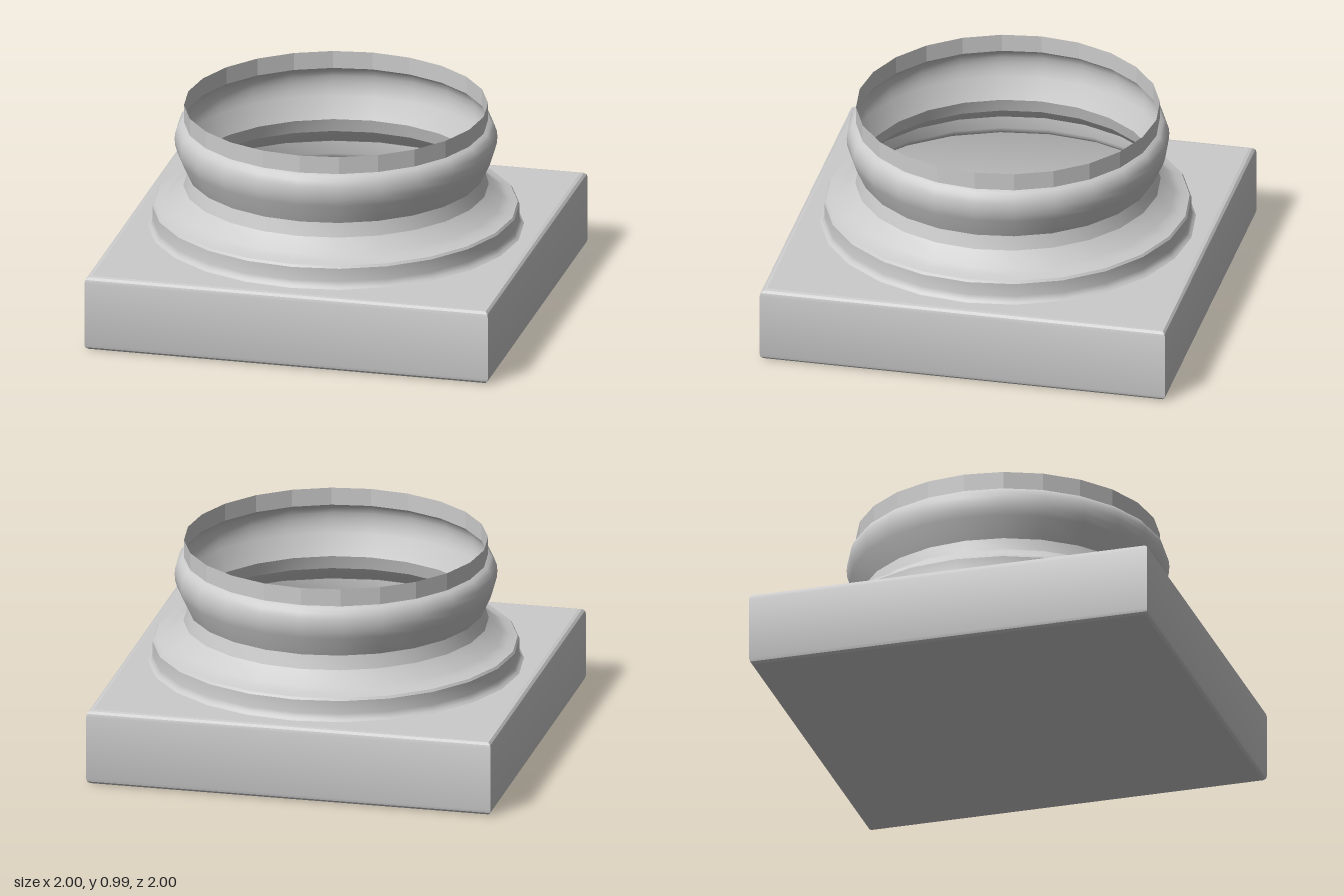
import * as THREE from 'three';
import { toCreasedNormals } from 'three/addons/utils/BufferGeometryUtils.js';

const SIDES = 24;
const material = new THREE.MeshStandardMaterial({ color: 0xcccccc, side: THREE.DoubleSide });
const flatMaterial = new THREE.MeshStandardMaterial({ color: 0xcccccc, side: THREE.DoubleSide, flatShading: true });

function addMesh(group, name, geometry, mat = material) {
  const mesh = new THREE.Mesh(geometry, mat);
  mesh.name = name;
  group.add(mesh);
  return mesh;
}

// Turned shell from [radius, height] pairs, listed from the bottom up
function turned(profile, sides = SIDES, start = 0, scale = 1) {
  const points = profile.map(([r, y]) => new THREE.Vector2(r * scale, y));
  return toCreasedNormals(new THREE.LatheGeometry(points, sides, start), 0.5);
}

// Horizontal square sheet with an optional round hole
function squareSheet(half, holeRadius) {
  const shape = new THREE.Shape([[-1, -1], [1, -1], [1, 1], [-1, 1]]
    .map(([x, y]) => new THREE.Vector2(x * half, y * half)));
  if (holeRadius) {
    const ring = [];
    for (let i = 0; i < SIDES; i++) {
      const a = -i / SIDES * Math.PI * 2;
      ring.push(new THREE.Vector2(Math.cos(a) * holeRadius, Math.sin(a) * holeRadius));
    }
    shape.holes.push(new THREE.Path(ring));
  }
  return new THREE.ShapeGeometry(shape);
}

export function createModel() {
  const group = new THREE.Group();
  group.name = 'columnBase';

  // Hollow square plinth: mitred walls with rounded top and bottom edges
  addMesh(group, 'plinthWalls', turned([
    [0.97, 0], [0.985, 0.004], [0.996, 0.015], [1, 0.03],
    [1, 0.345], [0.996, 0.36], [0.985, 0.371], [0.97, 0.375],
  ], 4, Math.PI / 4, Math.SQRT2));
  addMesh(group, 'plinthFloor', squareSheet(0.97).rotateX(Math.PI / 2));
  addMesh(group, 'plinthTop', squareSheet(0.97, 0.905).rotateX(-Math.PI / 2)).position.y = 0.375;

  // Round foot with a small cove below and a sloping shoulder
  addMesh(group, 'foot', turned([
    [0.905, 0.375], [0.895, 0.383], [0.887, 0.393], [0.883, 0.41],
    [0.883, 0.475], [0.875, 0.487], [0.835, 0.497], [0.8, 0.515], [0.735, 0.58],
  ]));

  // Narrow neck
  addMesh(group, 'neck', turned([[0.735, 0.58], [0.716, 0.648]]));

  // Bulging ring moulding
  addMesh(group, 'ringMoulding', turned([
    [0.716, 0.648], [0.763, 0.75], [0.774, 0.785], [0.777, 0.82],
    [0.774, 0.85], [0.764, 0.878], [0.749, 0.895], [0.732, 0.905],
  ]));

  // Faceted open collar
  const collar = new THREE.CylinderGeometry(0.732, 0.732, 0.087, SIDES, 1, true);
  addMesh(group, 'collar', collar, flatMaterial).position.y = 0.9485;

  return group;
}
